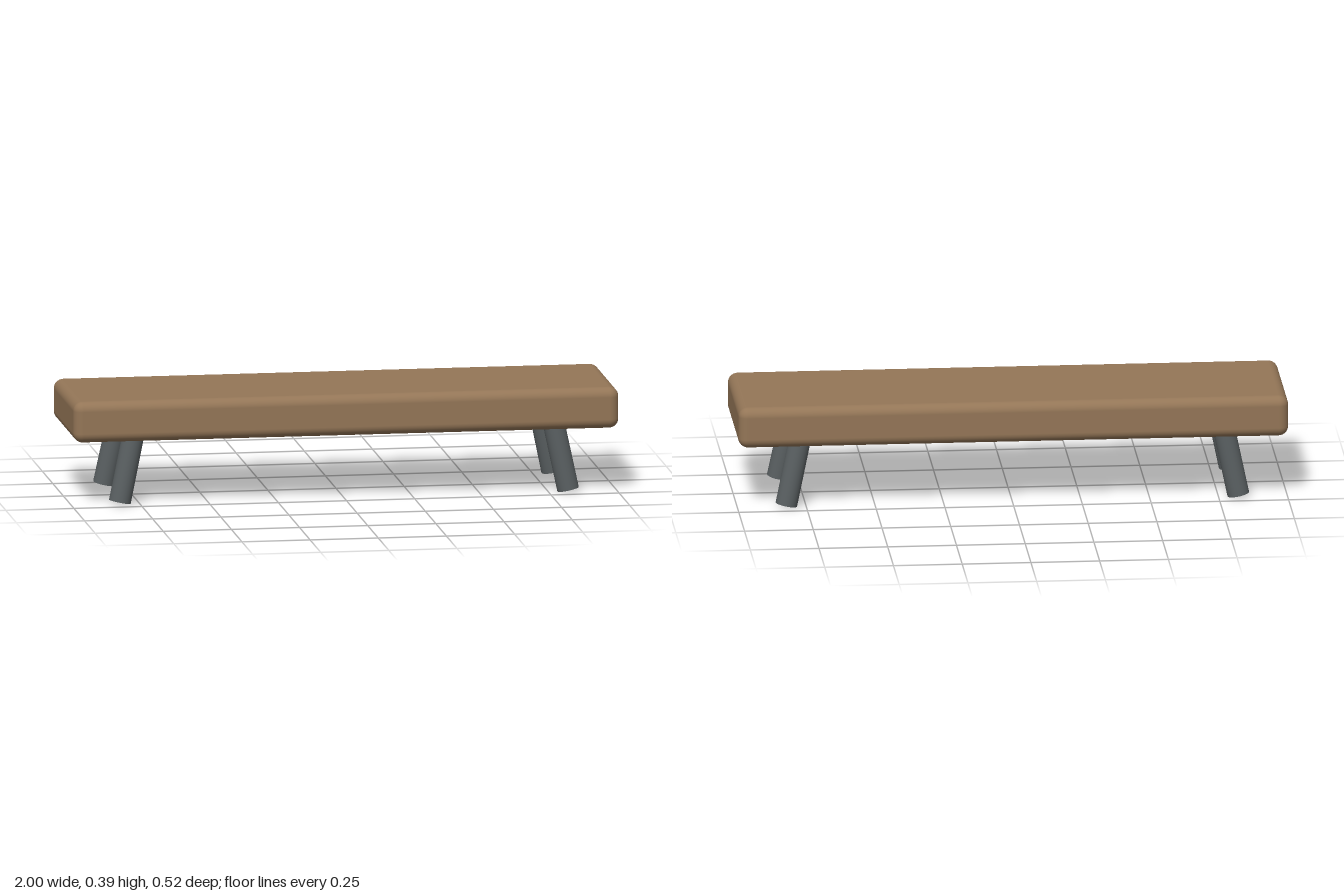
import * as THREE from 'three';
import { RoundedBoxGeometry } from 'three/addons/geometries/RoundedBoxGeometry.js';

export function createModel() {
  const model = new THREE.Group();
  model.name = 'bench';

  const wood = new THREE.MeshStandardMaterial({ color: 0x947657 });
  wood.name = 'brown wood';
  const metal = new THREE.MeshStandardMaterial({ color: 0x5a6062 });
  metal.name = 'dark grey metal';

  // Thick plank with softly rounded edges
  const seat = new THREE.Mesh(new RoundedBoxGeometry(2, 0.151, 0.522, 4, 0.035), wood);
  seat.name = 'seat';
  seat.position.y = 0.3145;
  model.add(seat);

  // Four round legs splayed outwards towards the floor
  const up = new THREE.Vector3(0, 1, 0);
  for (const sx of [-1, 1]) {
    for (const sz of [-1, 1]) {
      const foot = new THREE.Vector3(sx * 0.822, 0.009, sz * 0.188);
      const top = new THREE.Vector3(sx * 0.773, 0.243, sz * 0.177);
      const axis = top.clone().sub(foot);
      const leg = new THREE.Mesh(new THREE.CylinderGeometry(0.04, 0.04, axis.length(), 24), metal);
      leg.name = (sz > 0 ? 'front' : 'back') + (sx > 0 ? 'Left' : 'Right') + 'Leg';
      leg.position.copy(foot).add(top).multiplyScalar(0.5);
      leg.quaternion.setFromUnitVectors(up, axis.normalize());
      model.add(leg);
    }
  }
  return model;
}
